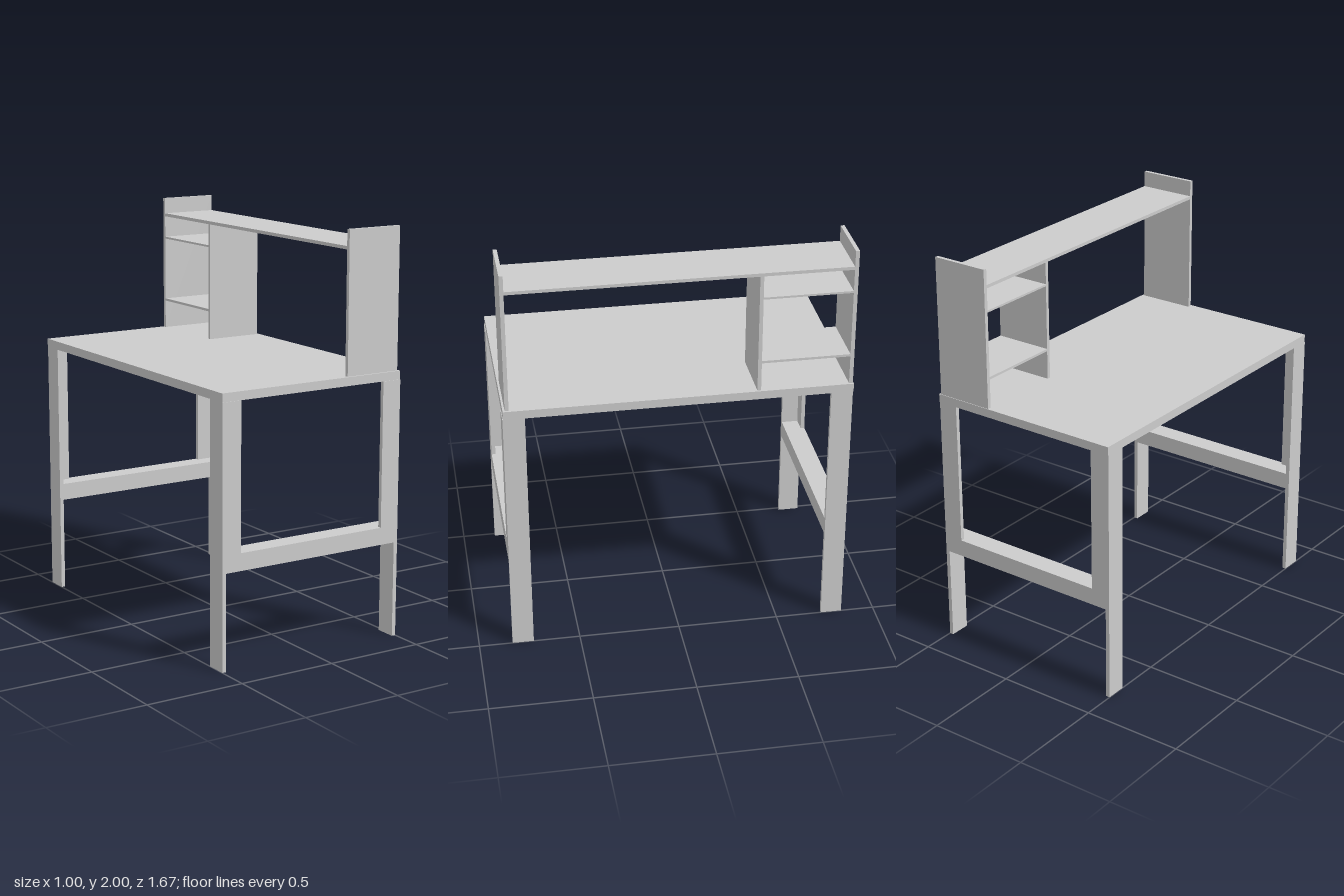
import * as THREE from 'three';

const material = new THREE.MeshStandardMaterial({ color: 0xcccccc, flatShading: true });

// Box given by its min/max extents on each axis
function board(parent, name, [x0, x1], [y0, y1], [z0, z1]) {
  const mesh = new THREE.Mesh(new THREE.BoxGeometry(x1 - x0, y1 - y0, z1 - z0), material);
  mesh.position.set((x0 + x1) / 2, (y0 + y1) / 2, (z0 + z1) / 2);
  mesh.name = name;
  parent.add(mesh);
}

// Extent mirrored to the chosen side of the centre
const side = (s, a, b) => (s > 0 ? [a, b] : [-b, -a]);

export function createModel() {
  const desk = new THREE.Group();
  desk.name = 'deskWithHutch';

  // Desktop
  board(desk, 'desktop', [-0.5, 0.5], [1.27, 1.312], [-0.838, 0.832]);

  // End frames: L-section posts, a thick cross rail and thin lower legs
  for (const sz of [1, -1]) {
    const frame = new THREE.Group();
    frame.name = sz > 0 ? 'frontFrame' : 'backFrame';
    desk.add(frame);
    const depth = side(sz, 0.73, 0.835);
    board(frame, 'crossRail', [-0.48, 0.48], [0.472, 0.557], depth);
    for (const sx of [1, -1]) {
      const label = sx > 0 ? 'left' : 'right';
      const plate = side(sx, 0.48, 0.5);
      board(frame, label + 'LowerLeg', plate, [0, 0.472], depth);
      board(frame, label + 'PostSide', plate, [0.472, 1.27], depth);
      board(frame, label + 'PostFace', side(sx, 0.4, 0.48), [0.557, 1.27], side(sz, 0.815, 0.835));
    }
  }

  // Hutch along the left edge
  const hutch = new THREE.Group();
  hutch.name = 'hutch';
  desk.add(hutch);
  const x = [0.2, 0.49];
  board(hutch, 'frontPanel', x, [1.312, 2], [0.803, 0.822]);
  board(hutch, 'backPanel', x, [1.312, 2], [-0.835, -0.816]);
  board(hutch, 'topShelf', x, [1.905, 1.921], [-0.816, 0.803]);
  board(hutch, 'divider', x, [1.312, 1.905], [-0.39, -0.372]);
  board(hutch, 'upperShelf', x, [1.787, 1.797], [-0.816, -0.39]);
  board(hutch, 'lowerShelf', x, [1.455, 1.467], [-0.816, -0.39]);

  return desk;
}
